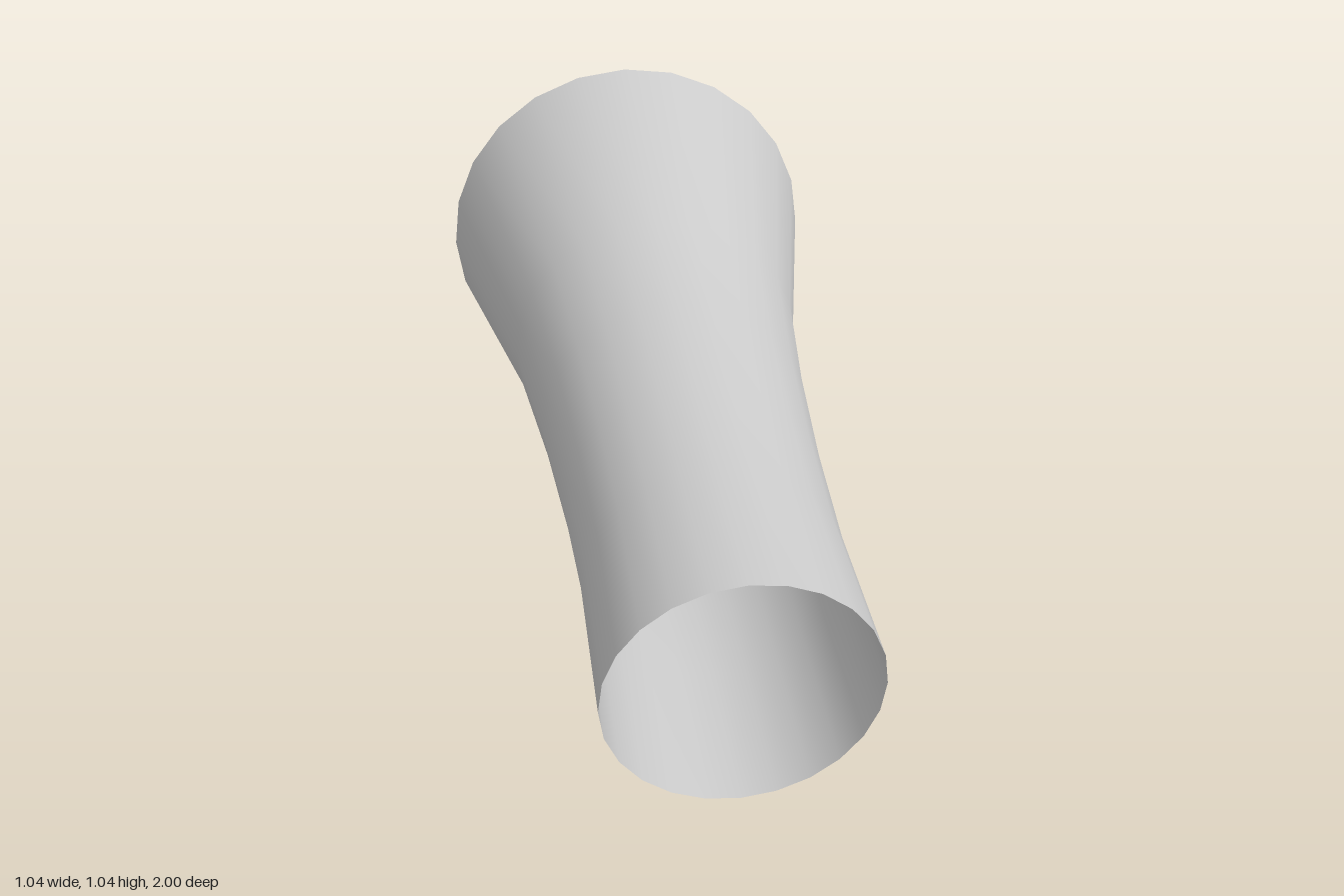
import * as THREE from 'three';

export function createModel() {
  const group = new THREE.Group();
  group.name = 'flaredTube';

  // Radius and position along the axis, from the wide mouth to the narrow end
  const profile = [
    [0.519, -1], [0.378, -0.35], [0.336, 0], [0.31, 0.32], [0.296, 0.62], [0.298, 1],
  ].map(([r, z]) => new THREE.Vector2(r, z));

  // Open thin-walled tube, laid along z
  const geometry = new THREE.LatheGeometry(profile, 24);
  geometry.rotateX(Math.PI / 2);

  const tube = new THREE.Mesh(
    geometry,
    new THREE.MeshStandardMaterial({ color: 0xcccccc, side: THREE.DoubleSide })
  );
  tube.name = 'tubeWall';
  tube.position.y = 0.519;
  group.add(tube);
  return group;
}
